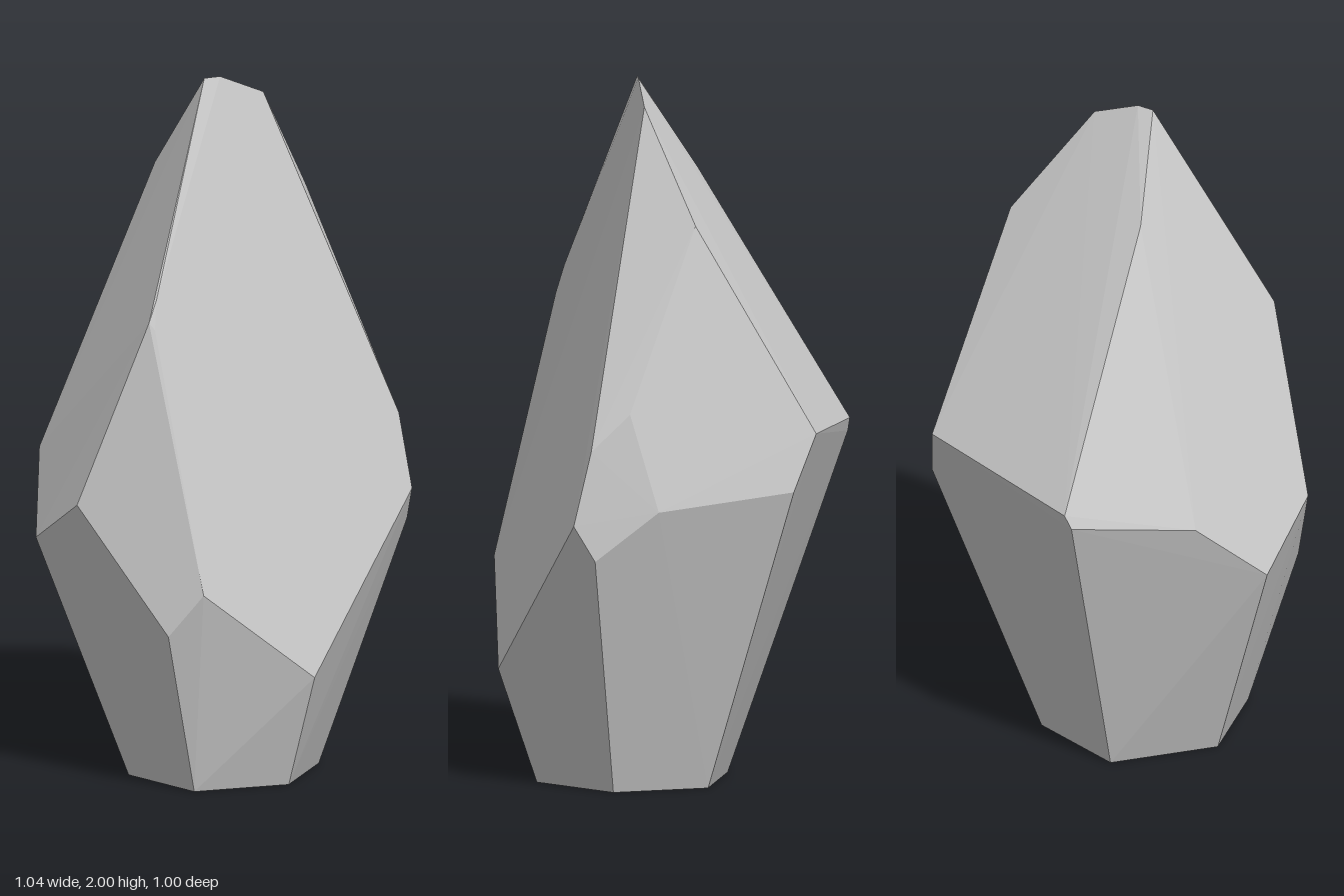
import * as THREE from 'three';
import { ConvexGeometry } from 'three/addons/geometries/ConvexGeometry.js';

// Corner rings of the faceted stone, bottom to top: [x, y, z]
const base = [
  [0.27, 0, 0.18], [0.2, 0, -0.09], [-0.08, 0, -0.155],
  [-0.28, 0, 0.09], [-0.2, 0, 0.36], [0.08, 0, 0.39],
];
const girdle = [
  [0.11, 0.33, 0.5], [0.505, 0.8, 0.3], [0.517, 0.7, 0.24], [0.515, 0.84, 0.06],
  [0.415, 0.88, -0.325], [0.37, 1.04, -0.39], [-0.16, 1.0, -0.503], [-0.18, 0.96, -0.498],
  [-0.415, 0.9, -0.22], [-0.52, 0.69, -0.015], [-0.5, 0.83, 0.22],
  [-0.317, 0.476, 0.44], [-0.235, 0.6, 0.5],
];
const shoulder = [
  [0.487, 1.01, 0.25], [0.48, 1.115, 0.14], [0.333, 1.63, -0.05], [-0.125, 1.728, -0.07],
  [-0.32, 1.36, 0.315], [-0.305, 1.34, 0.323], [-0.29, 1.42, 0.3],
];
const tip = [[0.14, 1.94, 0.088], [0, 2, 0.1], [-0.05, 2, 0.102]];

export function createModel() {
  const group = new THREE.Group();
  group.name = 'rock';

  // One convex, flat-faced stone wrapped around the corner rings
  const corners = [...base, ...girdle, ...shoulder, ...tip].map((p) => new THREE.Vector3(...p));
  const stone = new THREE.Mesh(
    new ConvexGeometry(corners),
    new THREE.MeshStandardMaterial({ color: 0xcccccc, flatShading: true }),
  );
  stone.name = 'stone';
  group.add(stone);
  return group;
}
